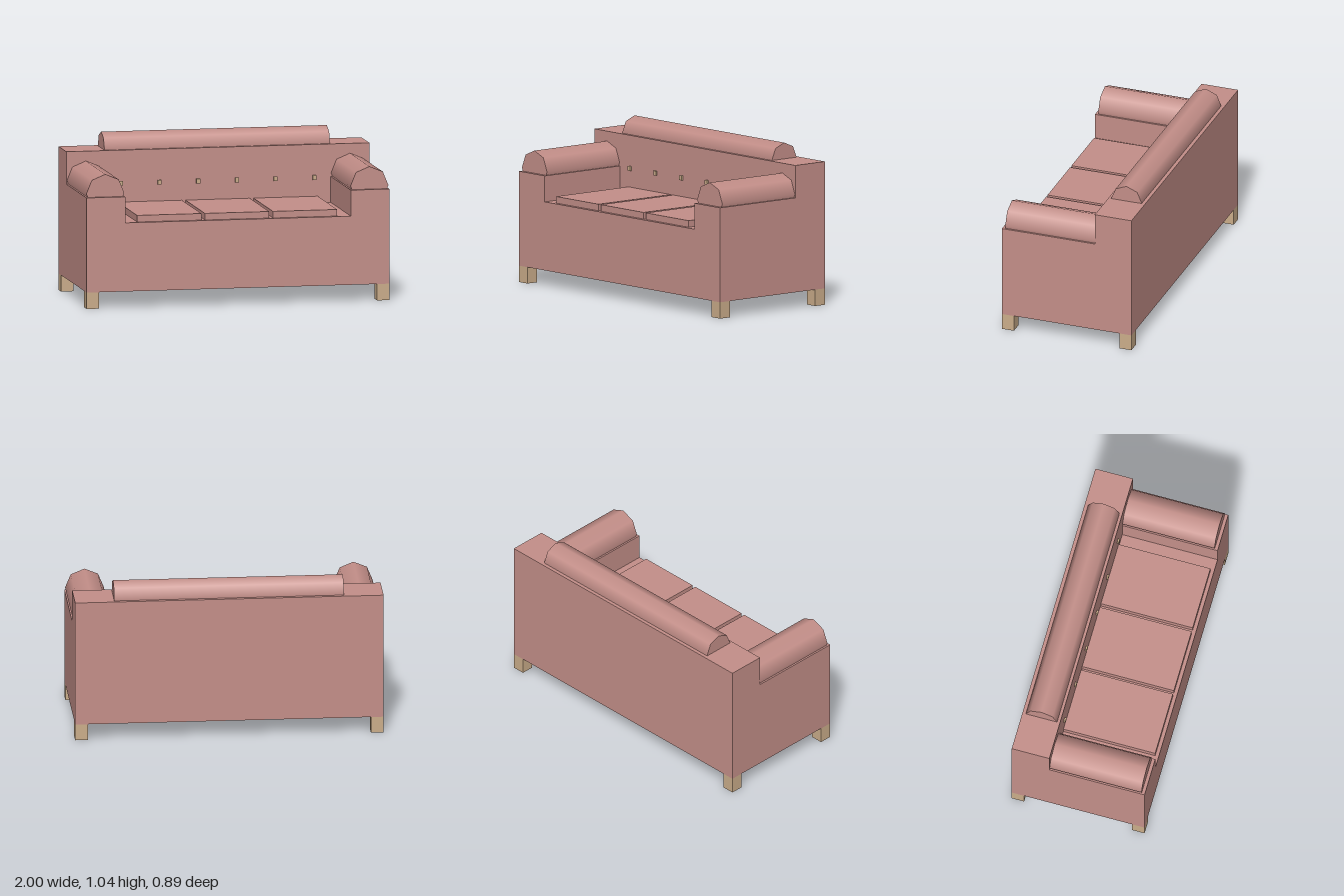
import * as THREE from 'three';

export function createModel() {
  const sofa = new THREE.Group();
  sofa.name = 'sofa';

  const upholstery = new THREE.MeshStandardMaterial({ color: 0xc48f89 });
  upholstery.name = 'dusty rose upholstery';
  const wood = new THREE.MeshStandardMaterial({ color: 0xcbad8a });
  wood.name = 'light wood';

  const add = (name, geometry, material) => {
    const mesh = new THREE.Mesh(geometry, material);
    mesh.name = name;
    sofa.add(mesh);
    return mesh;
  };

  // Box given by its minimum and maximum corners
  const box = (name, material, [x0, y0, z0], [x1, y1, z1]) =>
    add(name, new THREE.BoxGeometry(x1 - x0, y1 - y0, z1 - z0), material)
      .position.set((x0 + x1) / 2, (y0 + y1) / 2, (z0 + z1) / 2);

  // Base and arms: one U-shaped front profile run back to the backrest
  const profile = new THREE.Shape([
    [-1, 0.107], [1, 0.107], [1, 0.725], [0.745, 0.725],
    [0.745, 0.555], [-0.745, 0.555], [-0.745, 0.725], [-1, 0.725],
  ].map(([x, y]) => new THREE.Vector2(x, y)));
  const base = new THREE.ExtrudeGeometry(profile, { depth: 0.64, bevelEnabled: false });
  add('baseAndArms', base, upholstery).position.z = -0.194;

  // Backrest
  box('backrest', upholstery, [-1, 0.107, -0.446], [1, 0.937, -0.194]);

  // Eight-sided padded rolls on the arms and along the back
  for (const side of [-1, 1]) {
    const roll = new THREE.CylinderGeometry(0.125, 0.125, 0.617, 8).rotateX(Math.PI / 2);
    add(side > 0 ? 'leftArmRoll' : 'rightArmRoll', roll, upholstery)
      .position.set(side * 0.872, 0.748, 0.1155);
  }
  const backRoll = new THREE.CylinderGeometry(0.105, 0.105, 1.49, 8).rotateZ(Math.PI / 2);
  add('backRoll', backRoll, upholstery).position.set(0, 0.938, -0.318);

  // Three seat cushions
  [-0.45, -0.002, 0.447].forEach((x, i) =>
    box(`seatCushion${i + 1}`, upholstery, [x - 0.212, 0.55, -0.2], [x + 0.212, 0.598, 0.422]));

  // Row of small buttons on the backrest
  for (let i = 0; i < 6; i++) {
    const x = -0.642 + i * 0.2556;
    box(`button${i + 1}`, wood, [x - 0.012, 0.706, -0.2], [x + 0.012, 0.736, -0.182]);
  }

  // Square legs at the corners
  for (const sx of [-1, 1]) {
    for (const sz of [-1, 1]) {
      const name = (sz > 0 ? 'front' : 'back') + (sx > 0 ? 'Left' : 'Right') + 'Leg';
      add(name, new THREE.BoxGeometry(0.083, 0.107, 0.083), wood)
        .position.set(sx * 0.9585, 0.0535, sz * 0.4045);
    }
  }

  return sofa;
}
